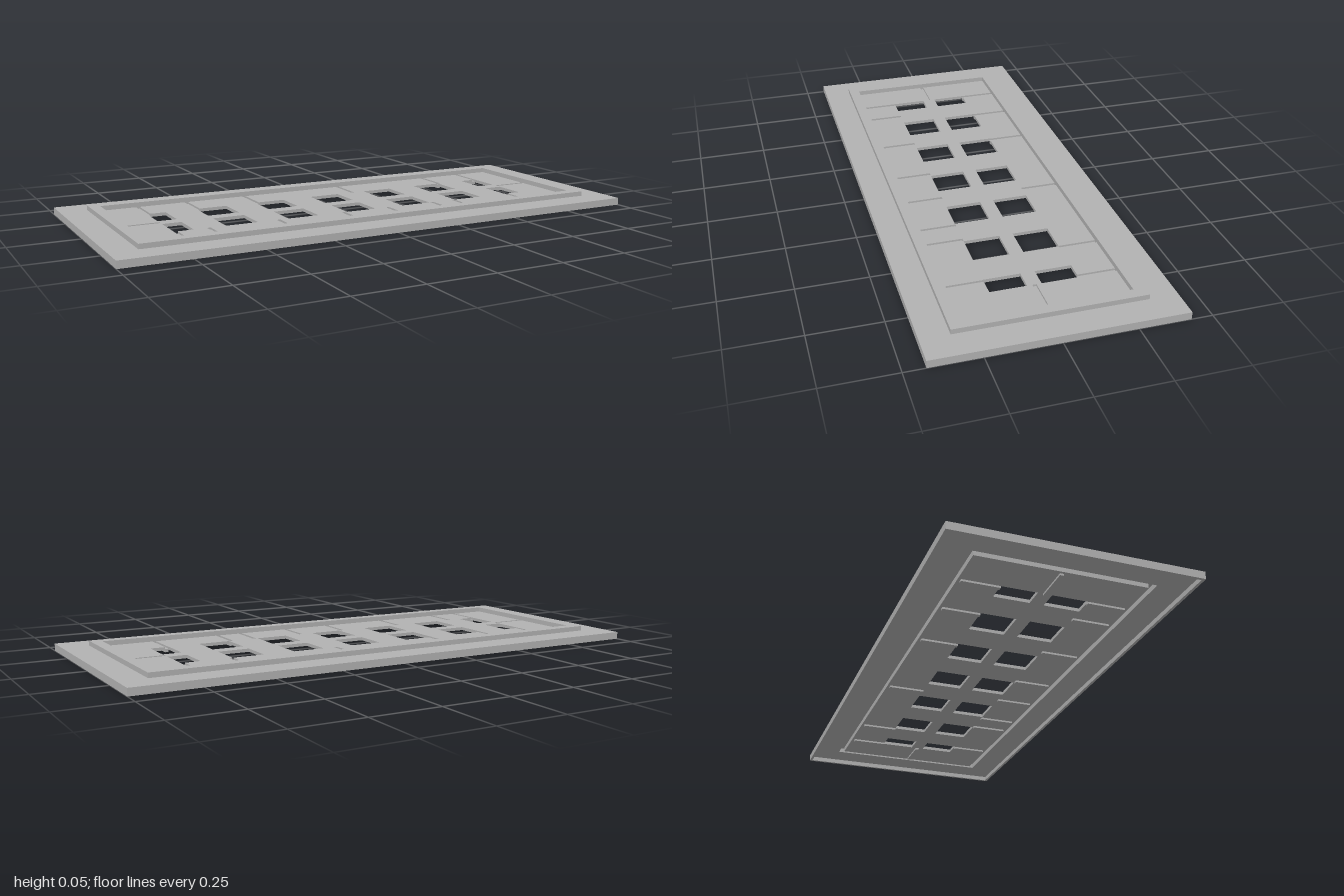
import * as THREE from 'three';

const HX = 1, HZ = 0.427;            // half size of the plate
const TOP = 0.027, BOTTOM = 0.015;   // panel surfaces
const GROOVE = 0.014;                // width of the joints
const END = 0.725;                   // inner edge of the end blocks
const IN_X = 0.86, IN_Z = 0.287;     // recessed field inside the rim
const HOLE_IN = 0.025, HOLE_OUT = 0.153;

// Sweep a closed cross-section of [inset, y] points around the rectangle
function rectangularSweep(profile) {
  const corners = [[1, 1], [-1, 1], [-1, -1], [1, -1]];
  const at = ([sx, sz], [inset, y]) => [sx * (HX - inset), y, sz * (HZ - inset)];
  const pos = [];
  corners.forEach((a, k) => {
    const b = corners[(k + 1) % 4];
    profile.forEach((p, i) => {
      const q = profile[(i + 1) % profile.length];
      pos.push(...at(a, p), ...at(a, q), ...at(b, q), ...at(a, p), ...at(b, q), ...at(b, p));
    });
  });
  const g = new THREE.BufferGeometry();
  g.setAttribute('position', new THREE.Float32BufferAttribute(pos, 3));
  g.computeVertexNormals();
  return g;
}

export function createModel() {
  const model = new THREE.Group();
  model.name = 'grillePlate';
  const grey = new THREE.MeshStandardMaterial({ color: 0xb3b3b3 });
  grey.name = 'grey';

  const slab = (name, x0, x1, z0, z1, drop = 0) => {
    const m = new THREE.Mesh(new THREE.BoxGeometry(x1 - x0, TOP - BOTTOM, Math.abs(z1 - z0)), grey);
    m.position.set((x0 + x1) / 2, (TOP + BOTTOM) / 2 - drop, (z0 + z1) / 2);
    m.name = name;
    model.add(m);
  };

  // Hollow outer flange with the raised rim pressed into it
  const frame = new THREE.Mesh(rectangularSweep([
    [0, 0], [0, 0.027], [0.1, 0.027], [0.1, 0.045], [0.14, 0.045], [0.14, 0.015],
    [0.13, 0.015], [0.13, 0.035], [0.11, 0.035], [0.11, 0.017], [0.01, 0.017], [0.01, 0],
  ]), grey);
  frame.name = 'flangeAndRim';
  model.add(frame);

  // Planks along both long sides, separated by sunken joints
  const rows = [
    { side: -1, joints: [-0.718, -0.528, -0.289, 0.128, 0.54, 0.718] },
    { side: 1, joints: [-0.718, -0.599, -0.337, -0.075, 0.112, 0.31, 0.406, 0.663] },
  ];
  for (const { side, joints } of rows) {
    const z0 = side * HOLE_OUT, z1 = side * IN_Z;
    joints.forEach((x, i) => {
      slab('joint', x - GROOVE / 2, x + GROOVE / 2, z0, z1, 0.007);
      const last = i === joints.length - 1;
      const next = last ? END : joints[i + 1] - GROOVE / 2;
      if (next - x > GROOVE) slab('plank', x + GROOVE / 2, next, z0, z1);
    });

    // End blocks
    for (const s of [-1, 1]) {
      const xs = [s * END, s * IN_X].sort((a, b) => a - b);
      slab('endBlock', xs[0], xs[1], side * GROOVE / 2, z1);
    }

    // Cross bars between the openings
    for (let i = 0; i < 6; i++) {
      const x = -0.595 + 0.238 * i;
      slab('crossBar', x - 0.059, x + 0.059, side * HOLE_IN, z0);
    }
  }

  // Centre bar and the joints of the end blocks
  slab('centreBar', -END, END, -HOLE_IN, HOLE_IN);
  slab('endJoint', -IN_X, -END, -GROOVE / 2, GROOVE / 2, 0.007);
  slab('endJoint', END, IN_X, -GROOVE / 2, GROOVE / 2, 0.007);

  return model;
}
